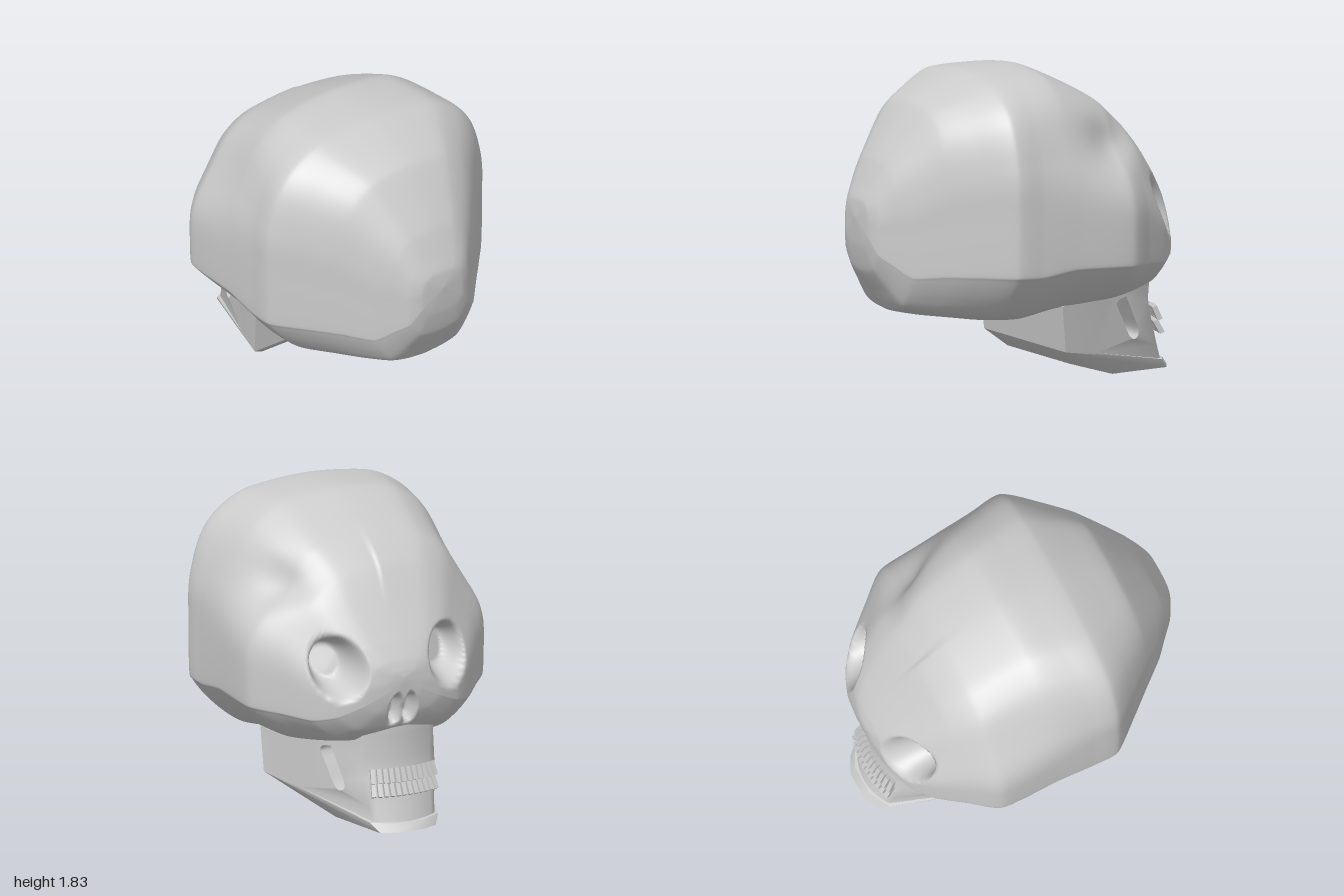
import * as THREE from 'three';
import { toCreasedNormals } from 'three/addons/utils/BufferGeometryUtils.js';
import { ConvexGeometry } from 'three/addons/geometries/ConvexGeometry.js';

const { lerp, smoothstep } = THREE.MathUtils;
const material = new THREE.MeshStandardMaterial({ color: 0xcccccc });
const MID = 0.02; // the jaw sits slightly off centre

function addMesh(parent, name, geometry) {
  const mesh = new THREE.Mesh(geometry, material);
  mesh.name = name;
  parent.add(mesh);
  return mesh;
}

// Cross-sections from face to back: x, bottom, top, half width
const SECTIONS = [
  [-0.955, 0.91, 0.93, 0], [-0.945, 0.8, 0.97, 0.12], [-0.92, 0.7, 1.03, 0.25],
  [-0.86, 0.59, 1.13, 0.39], [-0.76, 0.51, 1.28, 0.51], [-0.6, 0.465, 1.51, 0.64],
  [-0.43, 0.44, 1.65, 0.765], [-0.07, 0.4, 1.82, 0.77], [0.15, 0.355, 1.83, 0.77],
  [0.32, 0.362, 1.815, 0.765], [0.5, 0.385, 1.735, 0.62], [0.65, 0.405, 1.65, 0.49],
  [0.8, 0.445, 1.45, 0.36], [0.88, 0.56, 1.33, 0.28], [0.95, 0.68, 1.18, 0.21],
  [0.985, 0.83, 1.1, 0.14], [1, 1, 1, 0],
];

// Half outline of a section: width and height fractions from bottom to top
const OUTLINE = [
  [0, 0], [0.35, 0.012], [0.65, 0.042], [0.83, 0.115], [0.97, 0.205], [1, 0.26], [1, 0.55],
  [0.94, 0.7], [0.85, 0.82], [0.73, 0.9], [0.53, 0.965], [0.28, 0.99], [0, 1],
];

// Hollows in the face: centre y, z, half height, half width, depth
const HOLLOWS = [
  [0.99, -0.36, 0.175, 0.145, 0.22], [0.99, 0.33, 0.175, 0.145, 0.22], // eye sockets
  [0.73, -0.045, 0.1, 0.045, 0.1], [0.73, 0.045, 0.1, 0.045, 0.1], // nostrils
];

// Low tension keeps the surface softly faceted
const softCurve = (points, tension = 0.3) => new THREE.CatmullRomCurve3(
  points.map(([x, y, z = 0]) => new THREE.Vector3(x, y, z)), false, 'catmullrom', tension);

function craniumGeometry() {
  const rows = 176, around = 168;
  const spine = softCurve(SECTIONS);
  const widths = softCurve(SECTIONS.map(([x, , , w]) => [x, w]));
  const mirrored = OUTLINE.slice(0, -1).reverse().map(([w, h]) => [-w, h]);
  const loop = softCurve([...OUTLINE, ...mirrored], 0.45);

  const positions = [], index = [];
  for (let i = 0; i <= rows; i++) {
    const { x: sx, y: bottom, z: top } = spine.getPoint(i / rows);
    const w = widths.getPoint(i / rows).y;
    // Shoulders are rounder at the forehead and squarer at the back
    const taper = lerp(0.14, -0.06, smoothstep(sx, -0.4, 0.45));
    for (let j = 0; j < around; j++) {
      const p = loop.getPoint(j / around);
      let x = sx, y = bottom + (top - bottom) * p.y;
      let z = w * p.x * (1 - taper * smoothstep(p.y, 0.45, 0.85));
      // Dent at one temple
      if (z < 0) {
        const q = ((x + 0.42) / 0.18) ** 2 + ((y - 1.44) / 0.14) ** 2;
        const dent = 0.08 * Math.exp(-q);
        z += dent;
        y -= dent * 0.5;
      }
      // Eye sockets and nose
      if (x < -0.6) {
        let push = 0;
        for (const [cy, cz, ry, rz, depth] of HOLLOWS) {
          const d = Math.hypot((y - cy) / ry, (z - cz) / rz);
          push = Math.max(push, depth * (1 - smoothstep(d, 0.5, 1.1)));
        }
        x += push;
      }
      positions.push(x, y, z);
      if (i < rows) {
        const a = i * around + j, b = i * around + (j + 1) % around;
        index.push(a, a + around, b, b, a + around, b + around);
      }
    }
  }
  const g = new THREE.BufferGeometry();
  g.setAttribute('position', new THREE.Float32BufferAttribute(positions, 3));
  g.setIndex(index);
  g.computeVertexNormals();
  return g;
}

// Jaw half width grows from the mouth to the back
const jawWidth = (x) => 0.22 + (x + 0.9) * 0.385;

function jawGeometry() {
  const v = (x, y) => new THREE.Vector2(x, y);
  const shape = new THREE.Shape([
    v(-0.96, 0.04), v(-0.35, 0.15), v(-0.12, 0.19), v(-0.095, 0.46), v(-0.5, 0.56), v(-0.75, 0.66),
    v(-0.87, 0.64), v(-0.875, 0.56), v(-0.86, 0.42), v(-0.885, 0.3), v(-0.93, 0.14),
  ]);
  // Slanted slot between cheek and jaw
  const slot = new THREE.SplineCurve([
    v(-0.61, 0.46), v(-0.535, 0.43), v(-0.58, 0.33), v(-0.63, 0.235),
    v(-0.675, 0.2), v(-0.712, 0.24), v(-0.66, 0.36), v(-0.61, 0.46),
  ]);
  shape.holes.push(new THREE.Path(slot.getPoints(28)));
  const g = new THREE.ExtrudeGeometry(shape, { depth: 2, steps: 14, bevelEnabled: false });
  const p = g.attributes.position;
  for (let i = 0; i < p.count; i++) {
    const side = p.getZ(i) - 1, x = p.getX(i);
    const bow = x < -0.8 ? 0.06 * side * side : 0; // rounded mouth
    p.setXYZ(i, x + bow, p.getY(i), MID + side * jawWidth(x));
  }
  return toCreasedNormals(g, 1);
}

// Chin tapering below the jaw line
function chinGeometry() {
  const points = [];
  for (const s of [-1, 1]) {
    for (const [x, y, z] of [
      [-0.12, 0.19, 0.52], [-0.35, 0.16, 0.432], [-0.9, 0.055, 0.22], [-0.965, 0.05, 0.09],
      [-1, 0.005, 0.08], [-0.95, 0, 0.18], [-0.55, 0, 0.27], [-0.21, 0.1, 0.4],
    ]) points.push(new THREE.Vector3(x, y, MID + s * z));
  }
  return toCreasedNormals(new ConvexGeometry(points), 0.5);
}

function addTeeth(parent) {
  const count = 12;
  for (const [name, y, x0, tilt] of [['upperTeeth', 0.325, -0.915, -0.4], ['lowerTeeth', 0.245, -0.925, -0.5]]) {
    const row = new THREE.Group();
    row.name = name;
    for (let i = 0; i < count; i++) {
      const z = (i / (count - 1) - 0.5) * 0.39;
      const tooth = addMesh(row, 'tooth', new THREE.BoxGeometry(0.03, 0.085, 0.025));
      tooth.position.set(x0 + 0.9 * z * z, y, MID + z);
      tooth.rotation.set(0, z * 1.5, tilt);
    }
    parent.add(row);
  }
}

export function createModel() {
  const skull = new THREE.Group();
  skull.name = 'skull';
  addMesh(skull, 'cranium', craniumGeometry());
  addMesh(skull, 'jaw', jawGeometry());
  addMesh(skull, 'chin', chinGeometry());
  addTeeth(skull);
  return skull;
}
